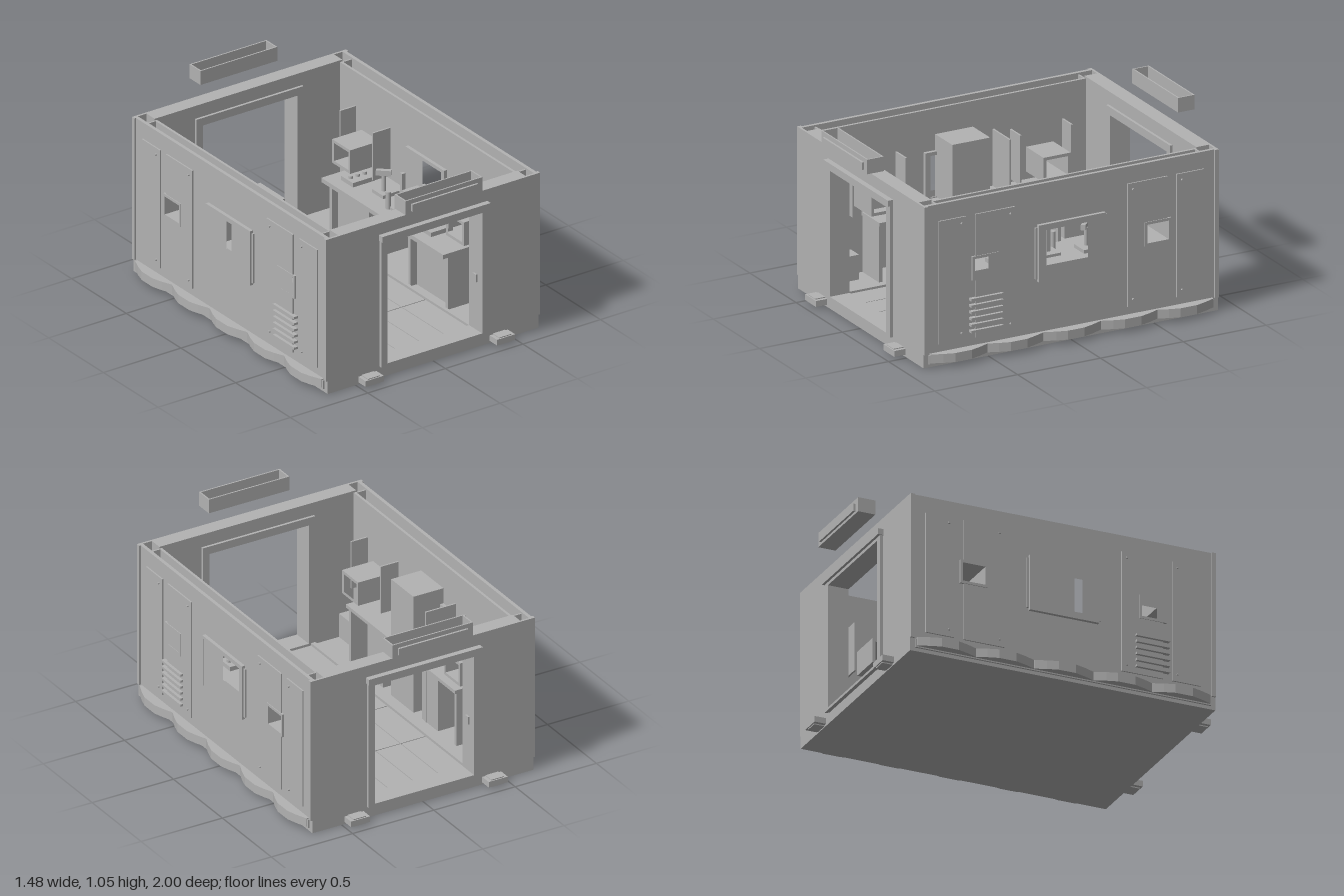
import * as THREE from 'three';

export function createModel() {
  const model = new THREE.Group();
  const grey = new THREE.MeshStandardMaterial({ color: 0xb2b2b2 });
  grey.name = 'grey';

  const add = (name, geo) => {
    const m = new THREE.Mesh(geo, grey);
    m.name = name;
    model.add(m);
    return m;
  };
  // box from its limits
  const box = (name, x0, x1, y0, y1, z0, z1) => {
    const g = new THREE.BoxGeometry(Math.abs(x1 - x0), y1 - y0, Math.abs(z1 - z0));
    return add(name, g.translate((x0 + x1) / 2, (y0 + y1) / 2, (z0 + z1) / 2));
  };
  const rod = (name, x, y0, y1, z, r) =>
    add(name, new THREE.CylinderGeometry(r, r, y1 - y0, 12).translate(x, (y0 + y1) / 2, z));
  const points = (list) => list.map(([a, b]) => new THREE.Vector2(a, b));
  const rect = (a0, a1, y0, y1) => [[a0, y0], [a1, y0], [a1, y1], [a0, y1]];
  const extrude = (outline, holes, depth) => {
    const shape = new THREE.Shape(points(outline));
    for (const h of holes) shape.holes.push(new THREE.Path(points(h)));
    return new THREE.ExtrudeGeometry(shape, { depth, bevelEnabled: false });
  };
  // plate lying in the z-y plane, from x0 to x1 on side s
  const sidePlate = (name, s, x0, x1, outline, holes = []) => {
    const flip = (l) => l.map(([z, y]) => [-z, y]);
    const g = extrude(flip(outline), holes.map(flip), x1 - x0);
    return add(name, g.rotateY(Math.PI / 2).translate(s > 0 ? x0 : -x1, 0, 0));
  };
  // plate lying in the x-y plane, from z0 to z1 at end e
  const endPlate = (name, e, z0, z1, outline, holes = []) =>
    add(name, extrude(outline, holes, z1 - z0).translate(0, 0, e > 0 ? z0 : -z1));

  // floor slab with planks and threshold edges
  box('floorSlab', -0.68, 0.68, 0, 0.06, -0.885, 0.885);
  for (let i = 0; i < 4; i++) {
    for (let j = 0; j < 4; j++) {
      const x = -0.315 + i * 0.155, z = -0.78 + j * 0.391;
      box('floorPlank', x, x + 0.15, 0.06, 0.07, z, z + 0.386);
    }
  }
  box('floorEdge', -0.345, -0.32, 0.06, 0.08, -0.8, 0.8);
  box('floorEdge', 0.305, 0.325, 0.06, 0.08, -0.8, 0.8);

  // side walls
  const port = (sz) => rect(Math.min(sz * 0.455, sz * 0.585), Math.max(sz * 0.455, sz * 0.585), 0.46, 0.565);
  const middle = rect(-0.145, 0.15, 0.41, 0.645);
  const openings = [port(1), port(-1), middle];
  for (const s of [1, -1]) {
    sidePlate('outerWall', s, 0.66, 0.68, rect(-0.885, 0.885, 0.06, 0.91), openings);
    sidePlate('innerWall', s, 0.59, 0.605, rect(-0.8, 0.8, 0.06, 0.9), openings);

    // centre window: deep lining, stepped frame, latches
    sidePlate('windowLining', s, 0.57, 0.685, rect(-0.175, 0.18, 0.385, 0.665), [middle]);
    sidePlate('windowFrame', s, 0.68, 0.69, rect(-0.2, 0.205, 0.365, 0.685), [rect(-0.175, 0.18, 0.39, 0.66)]);
    sidePlate('windowRim', s, 0.68, 0.7, rect(-0.2, 0.205, 0.365, 0.685), [rect(-0.185, 0.19, 0.38, 0.67)]);
    box('windowSill', s * 0.53, s * 0.59, 0.39, 0.405, -0.16, 0.15);
    for (const z of [-0.208, 0.212]) box('windowHinge', s * 0.68, s * 0.69, 0.38, 0.67, z - 0.006, z + 0.006);

    for (const e of [1, -1]) {
      // raised cladding panels, the inner one notched around the small window
      const mz = (l) => l.map(([z, y]) => [e * z, y]);
      sidePlate('outerPanel', s, 0.68, 0.688, mz(rect(0.635, 0.8, 0.12, 0.815)), []);
      sidePlate('innerPanel', s, 0.68, 0.688, mz([[0.34, 0.12], [0.58, 0.12], [0.58, 0.45],
        [0.44, 0.45], [0.44, 0.575], [0.58, 0.575], [0.58, 0.815], [0.34, 0.815]]));
      for (const z of [0.37, 0.665]) {
        for (const y of [0.16, 0.78]) {
          const b = new THREE.CylinderGeometry(0.006, 0.006, 0.02, 10).rotateZ(Math.PI / 2);
          add('panelBolt', b.translate(s * 0.688, y, e * z));
        }
      }
      box('cornerTrim', s * 0.675, s * 0.69, 0.075, 0.91, e * 0.865, e * 0.888);

      // small window: trim outside, tunnel inside, side screens
      sidePlate('portTrim', s, 0.66, 0.692, mz(rect(0.44, 0.6, 0.445, 0.58)), [port(e)]);
      sidePlate('portTunnel', s, 0.4, 0.66, mz(rect(0.438, 0.602, 0.443, 0.582)), [port(e)]);
      box('portScreen', s * 0.49, s * 0.59, 0.42, 0.7, e * 0.655, e * 0.665);
      box('portScreen', s * 0.48, s * 0.59, 0.42, 0.7, e * 0.34, e * 0.35);

      // rib closing the hollow wall
      box('wallRib', s * 0.605, s * 0.66, 0.06, 0.9, e * 0.79, e * 0.8);
    }

    // ventilation slats
    for (let i = 0; i < 6; i++) {
      const y = 0.155 + i * 0.036;
      box('ventSlat', s * 0.68, s * 0.705, y, y + 0.013, 0.42, 0.615);
    }

    // scalloped skirt along the base
    for (const c of [-0.68, -0.345, 0, 0.345, 0.68]) {
      const profile = [[0.66, -0.175], [0.695, -0.172], [0.72, -0.11], [0.738, -0.05],
        [0.738, 0.05], [0.72, 0.11], [0.695, 0.172], [0.66, 0.175]].map(([x, z]) => [s * x, c + z]);
      add('skirtScallop', extrude(profile, [], 0.05).rotateX(-Math.PI / 2).translate(0, 0.027, 0));
    }
    box('skirtRail', s * 0.66, s * 0.69, 0.02, 0.07, -0.86, 0.86);
  }

  // end walls with doorways, lamps and feet
  for (const e of [1, -1]) {
    for (const s of [1, -1]) box('endWallSide', s * 0.33, s * 0.605, 0.06, 0.91, e * 0.8, e * 0.888);
    for (const s of [1, -1]) box('endWallCorner', s * 0.605, s * 0.68, 0, 0.91, e * 0.875, e * 0.888);
    box('endWallTop', -0.33, 0.33, 0.81, 0.91, e * 0.8, e * 0.888);
    box('endWallBase', -0.605, 0.605, 0, 0.06, e * 0.87, e * 0.888);
    endPlate('doorFrame', e, 0.785, 0.905, rect(-0.345, 0.345, 0.065, 0.835), [rect(-0.305, 0.305, 0.08, 0.79)]);
    box('doorHeader', -0.35, 0.35, 0.808, 0.842, e * 0.885, e * 0.92);
    box('doorLatch', e * 0.295, e * 0.306, 0.365, 0.41, e * 0.83, e * 0.86);

    // open-topped lamp box above the doorway
    const lamp = [-0.248, 0.248, 0.97, 1.052];
    box('lampBase', lamp[0], lamp[1], 0.97, 0.98, e * 0.888, e * 0.988);
    for (const z of [0.888, 0.98]) box('lampWall', lamp[0], lamp[1], 0.97, 1.052, e * z, e * (z + 0.008));
    for (const s of [1, -1]) box('lampEnd', s * 0.24, s * 0.248, 0.97, 1.052, e * 0.888, e * 0.988);
    box('lampLens', -0.213, 0.213, 0.985, 1.027, e * 0.988, e * 1);

    // feet
    for (const s of [1, -1]) {
      box('foot', s * 0.365, s * 0.482, 0.012, 0.045, e * 0.88, e * 0.955);
      box('footPad', s * 0.385, s * 0.462, 0.006, 0.05, e * 0.88, e * 0.948);
    }
  }

  // worktop on the left side, with cabinets below
  box('worktop', 0.3, 0.59, 0.375, 0.4, -0.56, 0.555);
  for (const z of [-0.54, -0.2, 0.18, 0.52]) box('worktopSupport', 0.34, 0.59, 0.06, 0.375, z, z + 0.02);
  box('worktopCabinet', 0.38, 0.59, 0.06, 0.375, -0.52, -0.2);
  box('worktopCabinet', 0.38, 0.59, 0.06, 0.375, 0.2, 0.52);

  // instruments on the worktop
  for (const z of [-0.425, 0.29]) {
    box('controlPad', 0.37, 0.51, 0.4, 0.425, z - 0.055, z + 0.055);
    for (const x of [0.395, 0.44, 0.485]) rod('controlKnob', x, 0.425, 0.44, z, 0.012);
  }
  box('scopeBase', 0.42, 0.525, 0.4, 0.42, -0.265, -0.165);
  rod('scopeStand', 0.46, 0.42, 0.52, -0.215, 0.012);
  const scope = add('scopeTube', new THREE.BoxGeometry(0.08, 0.03, 0.025));
  scope.position.set(0.455, 0.53, -0.21);
  scope.rotation.y = -0.75;
  box('trayBase', 0.38, 0.485, 0.4, 0.415, -0.05, 0.05);
  box('trayPost', 0.42, 0.44, 0.415, 0.62, -0.01, 0.01);
  box('standBase', 0.385, 0.49, 0.4, 0.42, 0.09, 0.17);
  box('standPost', 0.47, 0.485, 0.42, 0.59, 0.12, 0.14);
  box('standArm', 0.345, 0.445, 0.57, 0.59, 0.115, 0.145);
  for (const z of [0.1, 0.02, -0.06]) rod('bottle', 0.38, 0.4, 0.5, z, 0.014);

  // storage on the right side
  box('tallCabinet', -0.59, -0.405, 0.06, 0.755, -0.118, 0.11);
  box('shelf', -0.59, -0.395, 0.38, 0.4, -0.56, 0.555);
  box('cabinetDivider', -0.59, -0.405, 0.06, 0.72, -0.245, -0.235);
  for (const e of [1, -1]) {
    box('lowCabinet', -0.59, -0.41, 0.06, 0.38, e * 0.2, e * 0.36);
    box('shelfSupport', -0.59, -0.41, 0.06, 0.38, e * 0.53, e * 0.55);
    box('cornerLocker', -0.59, -0.5, 0.06, 0.2, e * 0.62, e * 0.8);
  }
  return model;
}
